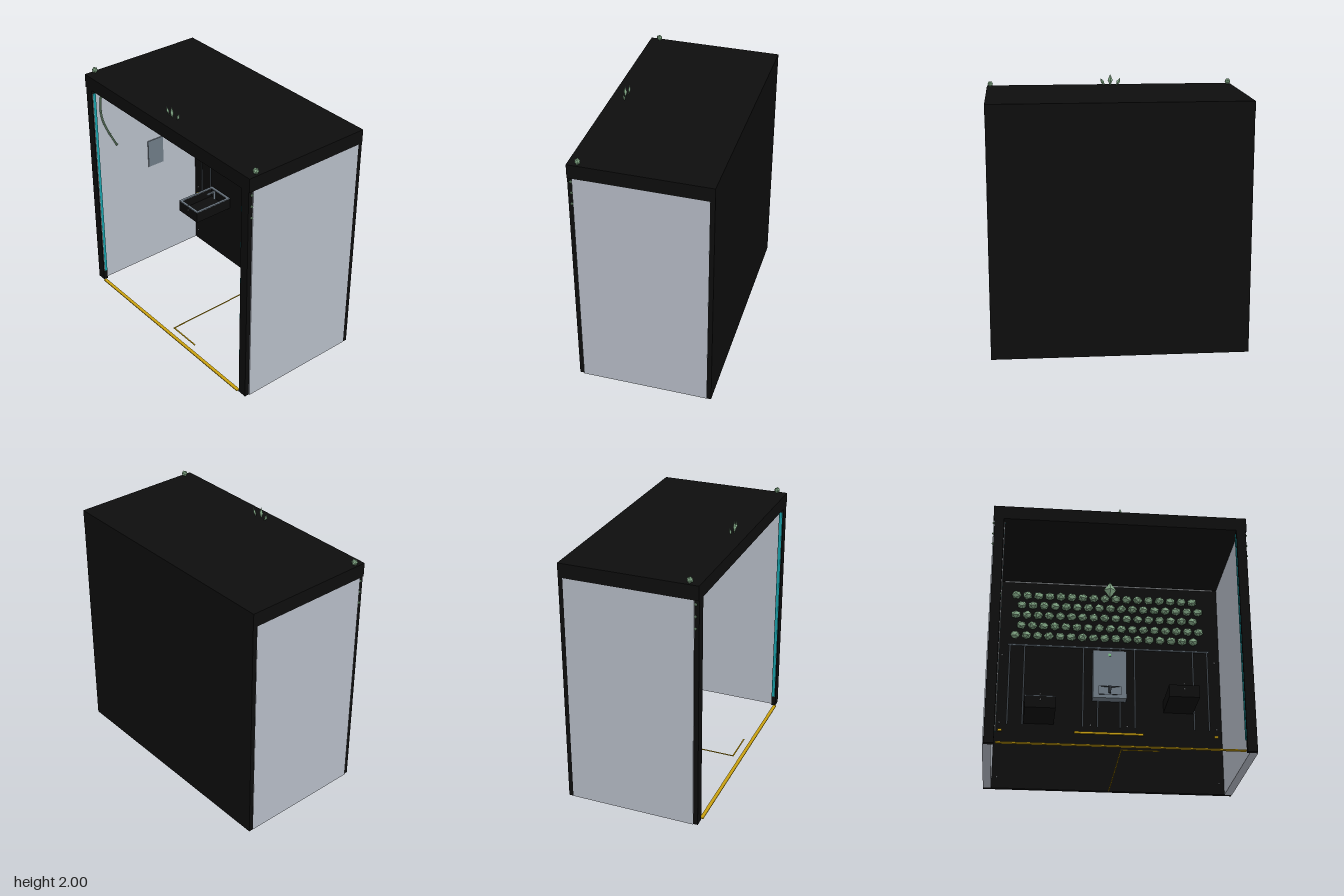
import * as THREE from 'three';

const mat = (name, color) => {
  const m = new THREE.MeshStandardMaterial({ color });
  m.name = name;
  return m;
};

export function createModel() {
  const model = new THREE.Group();
  const black = mat('black', 0x0d0d0d);
  const panelGrey = mat('panel grey', 0xb6bcc6);
  const steel = mat('steel', 0x6e7a85);
  const darkSteel = mat('dark steel', 0x2c3136);
  const silver = mat('silver', 0xb0b4b8);
  const gold = mat('gold', 0xc9a010);
  const cyan = mat('cyan', 0x18a0a8);
  const green = mat('leaf green', 0x84aa88);
  const lamp = mat('lamp green', 0x7fd08a);
  green.flatShading = true;

  const add = (name, geo, m, x = 0, y = 0, z = 0, parent = model) => {
    const mesh = new THREE.Mesh(geo, m);
    mesh.name = name;
    mesh.position.set(x, y, z);
    parent.add(mesh);
    return mesh;
  };
  // box given by its limits on each axis
  const box = (name, m, x0, x1, y0, y1, z0, z1, parent = model) =>
    add(name, new THREE.BoxGeometry(x1 - x0, y1 - y0, z1 - z0), m,
      (x0 + x1) / 2, (y0 + y1) / 2, (z0 + z1) / 2, parent);
  const dot = (name, x, y, z) =>
    add(name, new THREE.SphereGeometry(0.006, 8, 6), silver, x, y, z);

  let seed = 7;
  const rand = () => (seed = (seed * 16807) % 2147483647) / 2147483647;

  // shell: back wall, roof, side walls and front posts; the floor is open
  box('backWall', black, -0.968, 0.968, 0, 1.85, -0.525, -0.49);
  box('roof', black, -0.97, 0.97, 1.8, 1.908, -0.525, 0.515);
  for (const s of [-1, 1]) {
    const wall = box('sideWall', panelGrey, -0.03, 0.03, 0, 1.8, -0.49, 0.48);
    wall.position.x = s * 0.94;
    const post = box('frontPost', black, -0.036, 0.036, 0, 1.8, 0.48, 0.515);
    post.position.x = s * 0.926;
    const strip = box('lightStrip', cyan, -0.003, 0.003, 0.09, 1.77, 0.485, 0.508);
    strip.position.x = s * 0.884;
  }
  box('stripCover', silver, -0.887, -0.881, 0.09, 1.77, 0.508, 0.511);
  box('ceilingTrim', silver, -0.87, 0.87, 1.793, 1.8, -0.49, -0.482);

  // gold threshold, wall bars and floor seam
  box('threshold', gold, -0.88, 0.88, 0, 0.008, 0.5, 0.527);
  box('wallBar', gold, -0.275, 0.275, 0.467, 0.483, -0.49, -0.478);
  for (const s of [-1, 1]) {
    box('wallBarEnd', gold, s * 0.865 - 0.016, s * 0.865 + 0.016, 0.467, 0.483, -0.49, -0.478);
  }
  box('floorSeam', gold, -0.004, 0.004, 0, 0.005, -0.49, 0.45);
  box('floorSeamFoot', gold, 0.004, 0.27, 0, 0.005, 0.44, 0.45);

  // hanging rail and its rods on the back wall
  box('rail', steel, -0.825, 0.825, 1.214, 1.224, -0.49, -0.478);
  for (const x of [0.09, 0.21, 0.69, 0.81]) {
    for (const s of [-1, 1]) {
      add('rod', new THREE.CylinderGeometry(0.004, 0.004, 0.69, 8), steel, s * x, 0.872, -0.483);
    }
  }

  // wall screws
  for (const s of [-1, 1]) {
    for (const y of [0.09, 0.54, 1.125]) dot('screw', s * 0.87, y, -0.488);
    dot('screw', s * 0.147, 0.54, -0.488);
  }
  dot('screw', 0, 1.185, -0.488);

  // dispenser with outlet and lamp
  const dispenser = new THREE.Group();
  dispenser.name = 'dispenser';
  model.add(dispenser);
  box('cabinet', steel, -0.136, 0.136, 0.75, 1.165, -0.49, -0.41, dispenser);
  for (const y of [0.78, 0.85]) {
    box('outletEdge', darkSteel, -0.092, 0.092, y - 0.002, y + 0.002, -0.41, -0.406, dispenser);
  }
  for (const x of [-0.09, 0.09]) {
    box('outletEdge', darkSteel, x - 0.002, x + 0.002, 0.78, 0.85, -0.41, -0.406, dispenser);
  }
  box('spout', darkSteel, -0.01, 0.01, 0.79, 0.85, -0.41, -0.395, dispenser);
  box('spoutArm', darkSteel, -0.045, 0.045, 0.842, 0.85, -0.41, -0.4, dispenser);
  box('lamp', lamp, -0.01, 0.01, 1.115, 1.135, -0.41, -0.405, dispenser);

  // open basins, each with a rim and tap
  const basin = (cx, top, rim) => {
    const g = new THREE.Group();
    g.name = 'basin';
    g.position.set(cx, top, 0);
    model.add(g);
    box('basinFloor', black, -0.12, 0.12, -0.1, -0.08, -0.49, -0.14, g);
    for (const [x0, x1, z0, z1] of [
      [-0.12, 0.12, -0.16, -0.14], [-0.12, 0.12, -0.49, -0.47],
      [-0.12, -0.1, -0.47, -0.16], [0.1, 0.12, -0.47, -0.16]]) {
      box('basinSide', black, x0, x1, -0.08, -0.006, z0, z1, g);
      box('basinRim', rim, x0, x1, -0.006, 0, z0, z1, g);
    }
    add('tap', new THREE.CylinderGeometry(0.01, 0.01, 0.08, 10), rim, 0, 0, -0.42, g);
    box('tapSpout', rim, -0.007, 0.007, 0.028, 0.04, -0.42, -0.34, g);
    dot('basinScrew', cx, top - 0.034, -0.138);
    dot('basinScrew', cx, top + 0.01, -0.138);
  };
  basin(-0.56, 0.638, steel);
  basin(0.56, 0.77, black);

  // plate on the right wall
  box('wallPlate', steel, -0.91, -0.902, 0.914, 1.155, -0.15, 0);

  // rows of leaf clusters
  const ball = new THREE.IcosahedronGeometry(1, 0);
  const crystal = new THREE.OctahedronGeometry(1, 0);
  [1.66, 1.57, 1.48, 1.385, 1.295].forEach((y, row) => {
    for (let i = 0; i < 17; i++) {
      const x = -0.773 + (row % 2) * 0.047 + i * 0.0917;
      const cluster = new THREE.Group();
      cluster.name = 'leafCluster';
      cluster.position.set(x, y, -0.455);
      cluster.scale.set(0.043, 0.037, 0.035);
      model.add(cluster);
      add('leafBall', ball, green, 0, 0, 0, cluster).rotation.set(rand() * 6, rand() * 6, rand() * 6);
    }
  });
  const bud = (name, x, y, z, w, h, tilt = 0) => {
    const b = add(name, crystal, green, x, y, z);
    b.scale.set(w, h, w * 0.7);
    b.rotation.z = tilt;
  };
  bud('largeBud', 0, 1.72, -0.41, 0.052, 0.075);

  // roof sprig, corner leaves and the small leaves trailing below them
  bud('roofBud', 0, 1.953, 0.415, 0.02, 0.047);
  for (const s of [-1, 1]) {
    bud('roofBud', s * 0.062, 1.94, 0.405, 0.014, 0.036, -s * 0.5);
    add('cornerLeaf', ball, green, s * 0.943, 1.93, 0.44).scale.setScalar(0.024);
    for (const y of [1.77, 1.68, 1.59]) {
      add('trailingLeaf', ball, green, s * 0.967, y, 0.49).scale.setScalar(0.01);
    }
  }

  // vine on the right wall
  const vine = new THREE.CatmullRomCurve3([
    new THREE.Vector3(-0.9, 1.79, 0.4), new THREE.Vector3(-0.9, 1.68, 0.435),
    new THREE.Vector3(-0.9, 1.53, 0.43), new THREE.Vector3(-0.9, 1.39, 0.38),
    new THREE.Vector3(-0.9, 1.245, 0.307)]);
  add('vine', new THREE.TubeGeometry(vine, 16, 0.008, 6), green);
  for (const t of [0.2, 0.4, 0.6, 0.8, 1]) {
    const p = vine.getPoint(t);
    add('vineLeaf', ball, green, p.x, p.y, p.z).scale.setScalar(0.011);
  }
  return model;
}
